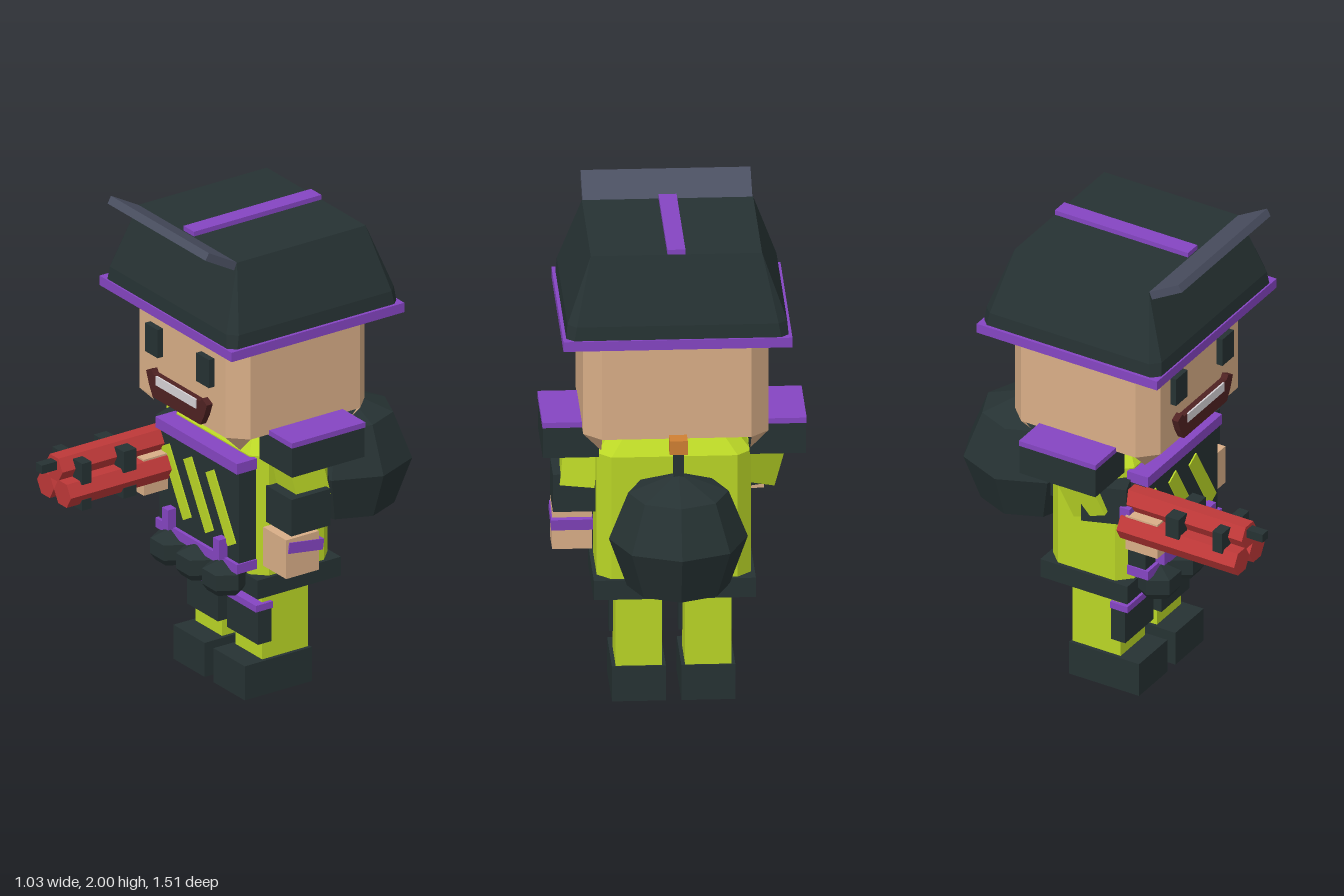
import * as THREE from 'three';

const mat = (name, color, side = THREE.FrontSide) => {
  const m = new THREE.MeshStandardMaterial({ color, side, flatShading: true });
  m.name = name;
  return m;
};

export function createModel() {
  const dark = mat('charcoal', 0x263233);
  const lime = mat('lime', 0xbad626);
  const skin = mat('skin', 0xd9ae87, THREE.DoubleSide);
  const purple = mat('purple', 0x8545c2);
  const red = mat('red', 0xbe3838);
  const grey = mat('visor grey', 0x4a4f61);
  const orange = mat('orange', 0xd08033);
  const maroon = mat('mouth maroon', 0x4f2222);
  const white = mat('teeth white', 0xd8d4d8);

  const model = new THREE.Group();
  model.name = 'figure';

  const add = (name, geo, material, parent = model) => {
    const m = new THREE.Mesh(geo, material);
    m.name = name;
    parent.add(m);
    return m;
  };
  // Box from its extents on each axis
  const box = (name, material, x0, x1, y0, y1, z0, z1, parent) => {
    const m = add(name, new THREE.BoxGeometry(x1 - x0, y1 - y0, z1 - z0), material, parent);
    m.position.set((x0 + x1) / 2, (y0 + y1) / 2, (z0 + z1) / 2);
    return m;
  };
  // Loft through rectangles with cut corners: [y, half width, z back, z front, corner cut]
  const loft = (sections, capped = true) => {
    const rings = sections.map(([y, h, b, f, c]) => [
      [h, f - c], [h, b + c], [h - c, b], [c - h, b], [-h, b + c], [-h, f - c], [c - h, f], [h - c, f],
    ].map(([x, z]) => [x, y, z]));
    const pos = [];
    const tri = (...p) => p.forEach((v) => pos.push(...v));
    for (let i = 0; i < 8; i++) {
      const j = (i + 1) % 8;
      for (let k = 0; k < rings.length - 1; k++) {
        const a = rings[k], b = rings[k + 1];
        tri(a[i], a[j], b[j]);
        tri(a[i], b[j], b[i]);
      }
      if (capped && i > 0 && i < 7) {
        const top = rings[rings.length - 1], low = rings[0];
        tri(top[0], top[i], top[j]);
        tri(low[0], low[j], low[i]);
      }
    }
    return fromTriangles(pos);
  };
  const fromTriangles = (pos) => {
    const g = new THREE.BufferGeometry();
    g.setAttribute('position', new THREE.Float32BufferAttribute(pos, 3));
    g.computeVertexNormals();
    return g;
  };

  // Helmet
  box('helmetBrim', purple, -0.445, 0.445, 1.57, 1.61, -0.46, 0.36);
  add('helmetShell', loft([
    [1.61, 0.432, -0.452, 0.353, 0.03],
    [1.665, 0.427, -0.447, 0.348, 0.035],
    [1.925, 0.333, -0.355, 0.255, 0],
  ]), dark);
  box('helmetStripe', purple, -0.035, 0.035, 1.92, 1.945, -0.355, 0.25);
  const visor = add('visor', new THREE.BoxGeometry(0.66, 0.033, 0.155), grey);
  visor.position.set(0, 1.947, 0.327);
  visor.rotation.x = -0.51;

  // Head: open underneath, with a downward point at each corner
  add('head', loft([[1.17, 0.36, -0.38, 0.28, 0.07], [1.575, 0.36, -0.38, 0.28, 0.07]], false), skin);
  const points = [];
  for (const s of [1, -1]) {
    for (const [edge, inner] of [[0.28, 0.21], [-0.38, -0.31]]) {
      const a = [s * 0.36, 1.17, inner], b = [s * 0.29, 1.17, edge], tip = [s * 0.29, 1.1, inner];
      points.push(...(s * edge > 0 ? [a, b, tip] : [b, a, tip]).flat().map((v) => v));
    }
  }
  add('jawPoints', fromTriangles(points), skin);

  // Face
  for (const s of [1, -1]) {
    box('eye', dark, s * 0.1725 - 0.0425, s * 0.1725 + 0.0425, 1.36, 1.48, 0.27, 0.306);
  }
  const mouthHalf = [[0.16, 1.185], [0.185, 1.23], [0.205, 1.283], [0.17, 1.3], [0.158, 1.283]];
  const mouthShape = new THREE.Shape([
    ...mouthHalf, ...mouthHalf.map(([x, y]) => [-x, y]).reverse(),
  ].map(([x, y]) => new THREE.Vector2(x, y)));
  add('mouth', new THREE.ExtrudeGeometry(mouthShape, { depth: 0.035, bevelEnabled: false }), maroon)
    .position.z = 0.273;
  box('teeth', white, -0.135, 0.135, 1.245, 1.284, 0.305, 0.312);

  // Torso and belt
  add('torso', loft([
    [0.53, 0.3, -0.235, 0.135, 0.055],
    [1.04, 0.3, -0.235, 0.135, 0.055],
    [1.1, 0.248, -0.185, 0.085, 0.05],
  ]), lime);
  box('belt', dark, -0.315, 0.315, 0.455, 0.535, -0.25, 0.145);

  // Chest plate with trims, tabs and diagonal stripes
  box('chestPlate', dark, -0.268, 0.268, 0.6, 0.995, 0.12, 0.2);
  box('chestTrimTop', purple, -0.275, 0.275, 0.99, 1.035, 0.12, 0.215);
  box('chestTrimBottom', purple, -0.275, 0.275, 0.565, 0.605, 0.12, 0.215);
  for (const x of [-0.175, 0.17]) box('chestTab', purple, x - 0.02, x + 0.02, 0.6, 0.685, 0.19, 0.24);
  for (const x of [-0.15, 0, 0.15]) {
    const stripe = add('chestStripe', new THREE.BoxGeometry(0.06, 0.3, 0.008), lime);
    stripe.position.set(x, 0.8, 0.202);
    stripe.rotation.z = 0.52;
  }

  // Belt pouches
  for (const x of [-0.175, 0, 0.175]) {
    const pouch = add('pouch', new THREE.LatheGeometry(
      [[0, 0.462], [0.07, 0.462], [0.09, 0.49], [0.09, 0.555], [0, 0.6]].map((p) => new THREE.Vector2(...p)), 6), dark);
    pouch.position.set(x, 0, 0.2);
    pouch.rotation.y = Math.PI / 6;
  }

  // Legs
  for (const s of [1, -1]) {
    const leg = new THREE.Group();
    leg.name = s > 0 ? 'leftLeg' : 'rightLeg';
    leg.position.x = s * 0.135;
    model.add(leg);
    box('trouserLeg', lime, -0.09, 0.09, 0.14, 0.437, -0.158, 0.06, leg);
    box('kneePad', dark, -0.105, 0.105, 0.22, 0.36, 0.025, 0.09, leg);
    box('kneeTrim', purple, -0.105, 0.105, 0.36, 0.388, 0.02, 0.1, leg);
    box('boot', dark, -0.105, 0.105, 0, 0.145, -0.165, 0.153, leg);
  }

  // Shoulder pads
  for (const s of [1, -1]) {
    const c = s * 0.4025;
    box('shoulderPad', dark, c - 0.109, c + 0.109, 1.04, 1.165, -0.225, 0.12);
    box('shoulderTrim', purple, c - 0.111, c + 0.111, 1.165, 1.187, -0.227, 0.122);
  }

  // Left arm, hanging
  const upperLeft = box('leftUpperArm', lime, 0.295, 0.43, 0.86, 1.05, -0.1, 0.05);
  upperLeft.rotation.x = 0.2;
  upperLeft.rotation.z = 0.1;
  box('leftForearm', dark, 0.295, 0.465, 0.765, 0.92, -0.095, 0.09);
  box('leftHand', skin, 0.31, 0.465, 0.59, 0.755, -0.04, 0.115);
  const cuffLeft = box('leftCuff', purple, 0.308, 0.47, 0.685, 0.73, -0.06, 0.105);
  cuffLeft.rotation.x = -0.14;

  // Right arm, reaching forward
  const upperRight = box('rightUpperArm', lime, -0.42, -0.27, 0.87, 1.07, -0.09, 0.06);
  upperRight.rotation.set(-0.35, 0, 0.2);
  const forearmRight = box('rightForearm', dark, -0.385, -0.225, 0.84, 1.0, -0.04, 0.14);
  forearmRight.rotation.y = 0.35;
  box('rightCuff', purple, -0.365, -0.215, 0.79, 0.925, 0.14, 0.185);
  box('rightHand', skin, -0.37, -0.21, 0.747, 0.9, 0.17, 0.315);

  // Bundle of three sticks
  const bundle = new THREE.Group();
  bundle.name = 'stickBundle';
  model.add(bundle);
  for (const [x, y] of [[-0.29, 0.933], [-0.347, 0.843], [-0.233, 0.843]]) {
    const stick = new THREE.CylinderGeometry(0.057, 0.057, 0.535, 6);
    stick.rotateY(Math.PI / 6).rotateX(Math.PI / 2);
    const angle = Math.PI / 6;
    // Turn so that the corners point sideways
    const p = stick.attributes.position;
    let widest = 0;
    for (let i = 0; i < p.count; i++) widest = Math.max(widest, Math.abs(p.getX(i)));
    if (widest < 0.056) stick.rotateZ(angle);
    add('stick', stick, red, bundle).position.set(x, y, 0.4175);
  }
  for (const [z0, z1] of [[0.365, 0.425], [0.578, 0.622]]) {
    for (const x of [-0.36, -0.22]) box('stud', dark, x - 0.031, x + 0.031, 0.88, 0.97, z0, z1, bundle);
    box('lowerStud', dark, -0.25, -0.19, 0.77, 0.815, z0, z1, bundle);
  }
  box('stickFuse', dark, -0.31, -0.27, 0.932, 0.968, 0.68, 0.757, bundle);

  // Round charge carried on the back
  const charge = new THREE.Group();
  charge.name = 'backCharge';
  charge.position.z = -0.485;
  model.add(charge);
  add('chargeBody', new THREE.LatheGeometry(
    [[0, 0.605], [0.2, 0.605], [0.27, 0.8], [0.195, 0.99], [0, 1.07]].map((p) => new THREE.Vector2(...p)), 8), dark, charge);
  box('chargeFuse', dark, -0.02, 0.02, 1.05, 1.16, -0.02, 0.02, charge);
  box('chargeFuseTip', orange, -0.035, 0.035, 1.155, 1.212, -0.035, 0.035, charge);
  box('chargeStrap', dark, -0.2, 0.2, 0.757, 0.832, 0.21, 0.255, charge);

  return model;
}
